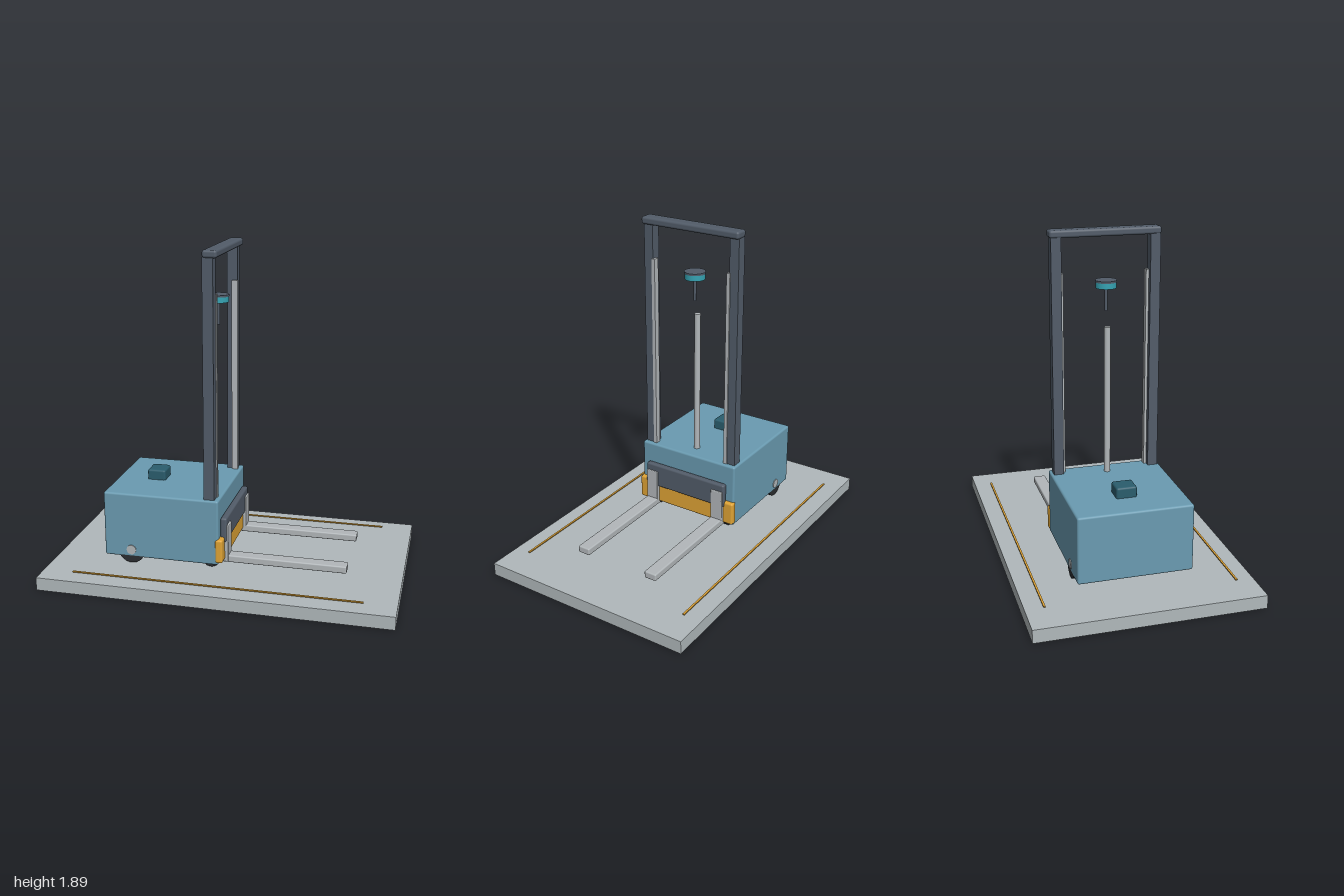
import * as THREE from 'three';
import { RoundedBoxGeometry } from 'three/addons/geometries/RoundedBoxGeometry.js';

const mat = (color) => new THREE.MeshStandardMaterial({ color });
const blue = mat(0x6a9bb1), teal = mat(0x2a5d6d), cyan = mat(0x35a3b3), dark = mat(0x525c69);
const yellow = mat(0xe0a435), steel = mat(0xb2b7ba), rubber = mat(0x2b2d30), floorGrey = mat(0xb0b8bb);

export function createModel() {
  const model = new THREE.Group();

  const add = (name, geometry, material) => {
    const mesh = new THREE.Mesh(geometry, material);
    mesh.name = name;
    model.add(mesh);
    return mesh;
  };
  // Box given by its extents; r > 0 rounds the edges
  const box = (name, material, [x0, x1], [y0, y1], [z0, z1], r = 0) => {
    const size = [x1 - x0, y1 - y0, z1 - z0];
    const geometry = r ? new RoundedBoxGeometry(...size, 3, r) : new THREE.BoxGeometry(...size);
    add(name, geometry, material).position.set((x0 + x1) / 2, (y0 + y1) / 2, (z0 + z1) / 2);
  };
  // Upright cylinder
  const post = (name, material, r, x, y0, y1) =>
    add(name, new THREE.CylinderGeometry(r, r, y1 - y0, 32), material).position.set(x, (y0 + y1) / 2, 0);
  // Cylinder lying along z
  const disc = (name, material, r, x, y, z0, z1) => {
    const mesh = add(name, new THREE.CylinderGeometry(r, r, Math.abs(z1 - z0), 32), material);
    mesh.rotation.x = Math.PI / 2;
    mesh.position.set(x, y, (z0 + z1) / 2);
  };

  // Floor slab
  box('floor', floorGrey, [-1, 1], [0, 0.075], [-0.63, 0.63]);

  // Truck body with control box
  box('body', blue, [-0.7, -0.025], [0.115, 0.5], [-0.322, 0.322], 0.012);
  box('controlBox', teal, [-0.52, -0.412], [0.48, 0.56], [-0.058, 0.058], 0.012);

  // Bumper and fork carriage
  box('bumper', yellow, [-0.043, 0], [0.13, 0.27], [-0.328, 0.328], 0.012);
  box('forkCarriage', dark, [-0.025, 0.012], [0.238, 0.383], [-0.273, 0.273], 0.012);

  // Mast crossbar, lift cylinder and sensor
  box('crossbar', dark, [-0.11, -0.028], [1.845, 1.888], [-0.313, 0.313], 0.014);
  post('liftCylinder', steel, 0.018, -0.127, 0.48, 1.352);
  post('sensorStem', dark, 0.008, -0.098, 1.437, 1.57);
  post('sensorBase', cyan, 0.058, -0.098, 1.565, 1.597);
  post('sensorCap', dark, 0.06, -0.098, 1.597, 1.608);

  // Paired parts on both sides
  for (const s of [-1, 1]) {
    const span = (a, b) => (s > 0 ? [a, b] : [-b, -a]);
    box('mastPost', dark, [-0.11, -0.05], [0.13, 1.85], span(0.25, 0.307));
    box('innerRail', steel, [-0.08, -0.044], [0.4, 1.65], span(0.235, 0.256));
    box('forkShank', steel, [-0.015, 0.021], [0.118, 0.34], span(0.19, 0.267), 0.005);
    box('fork', steel, [-0.02, 0.695], [0.115, 0.157], span(0.19, 0.265), 0.008);
    box('floorLine', yellow, [-0.82, 0.82], [0.084, 0.09], span(0.522, 0.533));
    disc('rearWheel', rubber, 0.08, -0.54, 0.16, s * 0.27, s * 0.321);
    disc('rearHub', steel, 0.028, -0.54, 0.16, s * 0.26, s * 0.327);
    disc('frontWheel', rubber, 0.055, -0.08, 0.137, s * 0.218, s * 0.272);
  }
  return model;
}
